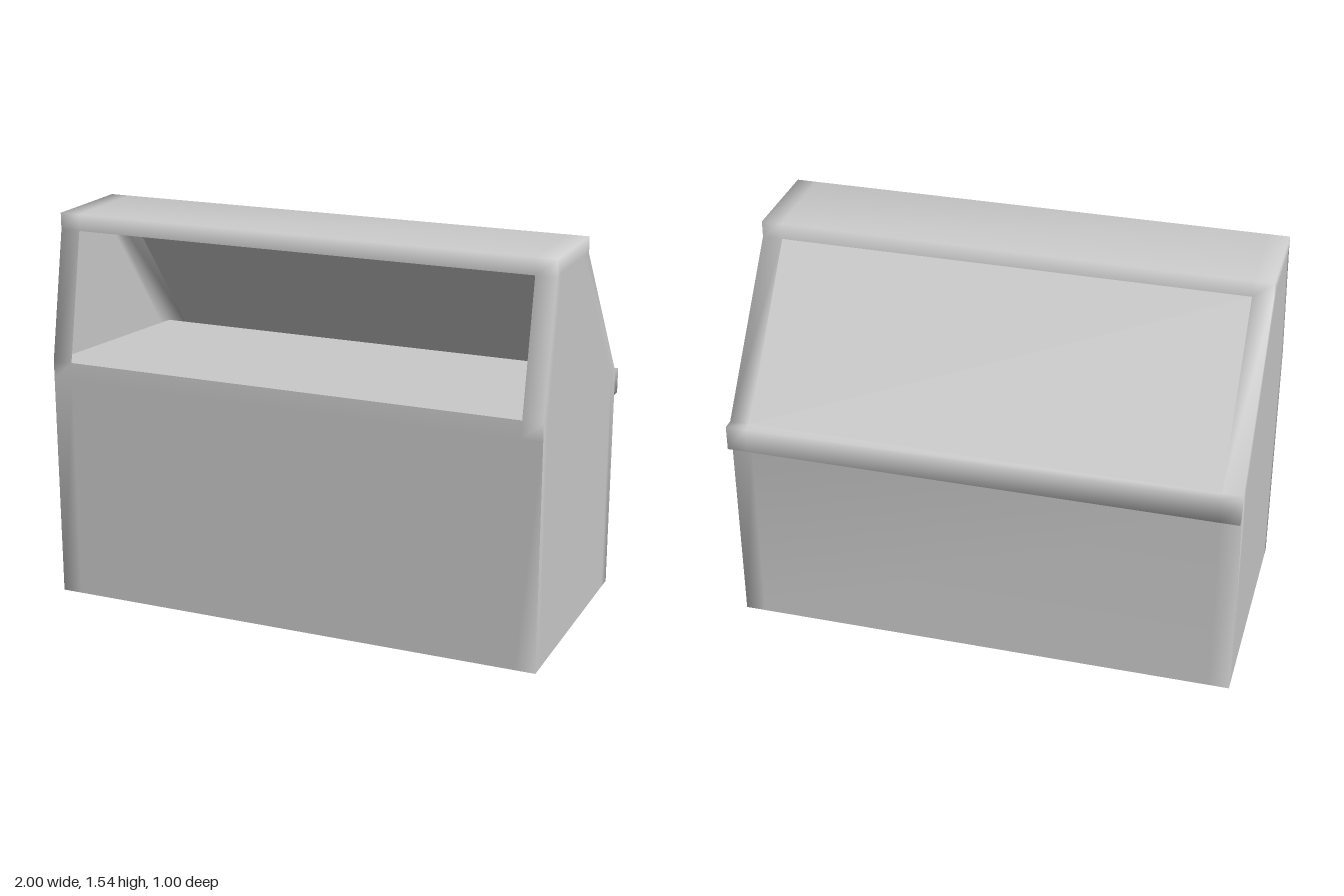
import * as THREE from 'three';
import { mergeVertices } from 'three/addons/utils/BufferGeometryUtils.js';

// Side-on points as [z, y]: 0-10 follow the outline, 11-16 the inner edge of the side frame
const P = [
  [0.5, 0], [0.5, 0.97], [0.4, 1.475], [0.4, 1.54], [0, 1.54], [0, 1.475],
  [-0.455, 0.9], [-0.5, 0.9], [-0.5, 0.8], [-0.455, 0.8], [-0.455, 0],
  [0.45, 0], [0.45, 0.97], [0.35, 1.48], [0.07, 1.48], [-0.39, 0.9], [-0.39, 0],
];
const COLUMNS = [-1, -0.92, 0.92, 1];
const FRONT_OPENING = 1, BACK_WINDOW = 5; // outline segments left open in the middle

// Triangulate convex polygons given as lists of [x, y, z]
function polygons(list) {
  const pos = [];
  for (const p of list)
    for (let i = 1; i < p.length - 1; i++) pos.push(...p[0], ...p[i], ...p[i + 1]);
  const g = new THREE.BufferGeometry();
  g.setAttribute('position', new THREE.Float32BufferAttribute(pos, 3));
  return g;
}

const at = (x, [z, y]) => [x, y, z];

// A polygon on the side wall, wound to face outward
function sideFace(x, ids) {
  const f = ids.map((i) => at(x, P[i]));
  return x > 0 ? f.reverse() : f;
}

// A strip cell between two outline points
const cell = (x0, x1, a, b) => [at(x0, a), at(x1, a), at(x1, b), at(x0, b)];

export function createModel() {
  const group = new THREE.Group();
  const material = new THREE.MeshStandardMaterial({ color: 0xcccccc, side: THREE.DoubleSide });
  const add = (name, geometry) => {
    geometry.computeVertexNormals();
    const mesh = new THREE.Mesh(geometry, material);
    mesh.name = name;
    group.add(mesh);
  };

  // Cabinet shell with its window frames, top box and rear lip; the underside is open
  const faces = [];
  for (let s = 0; s < 10; s++) {
    const stops = s === 0 ? [P[0], [0.5, 0.9], P[1]] : [P[s], P[s + 1]];
    for (let k = 0; k < stops.length - 1; k++)
      for (let c = 0; c < 3; c++) {
        if (c === 1 && (s === FRONT_OPENING || s === BACK_WINDOW)) continue;
        faces.push(cell(COLUMNS[c], COLUMNS[c + 1], stops[k], stops[k + 1]));
      }
  }
  const sideFrame = [
    [0, 1, 12, 11], [11, 12, 15, 16], [16, 15, 6, 9, 10], [6, 7, 8, 9],
    [1, 2, 13, 12], [2, 3, 13], [3, 4, 14, 13], [4, 5, 14], [5, 6, 15, 14],
  ];
  for (const x of [-1, 1]) for (const ids of sideFrame) faces.push(sideFace(x, ids));
  add('cabinetShell', mergeVertices(polygons(faces)));

  // Window panes
  add('backPane', polygons([cell(-0.92, 0.92, P[5], P[6])]));
  add('rightPane', polygons([sideFace(-1, [12, 13, 14, 15])]));
  add('leftPane', polygons([sideFace(1, [12, 13, 14, 15])]));

  // Sloping shelf inside, level with the window sills
  add('shelf', polygons([cell(-1, 1, P[1], P[6])]));

  return group;
}
